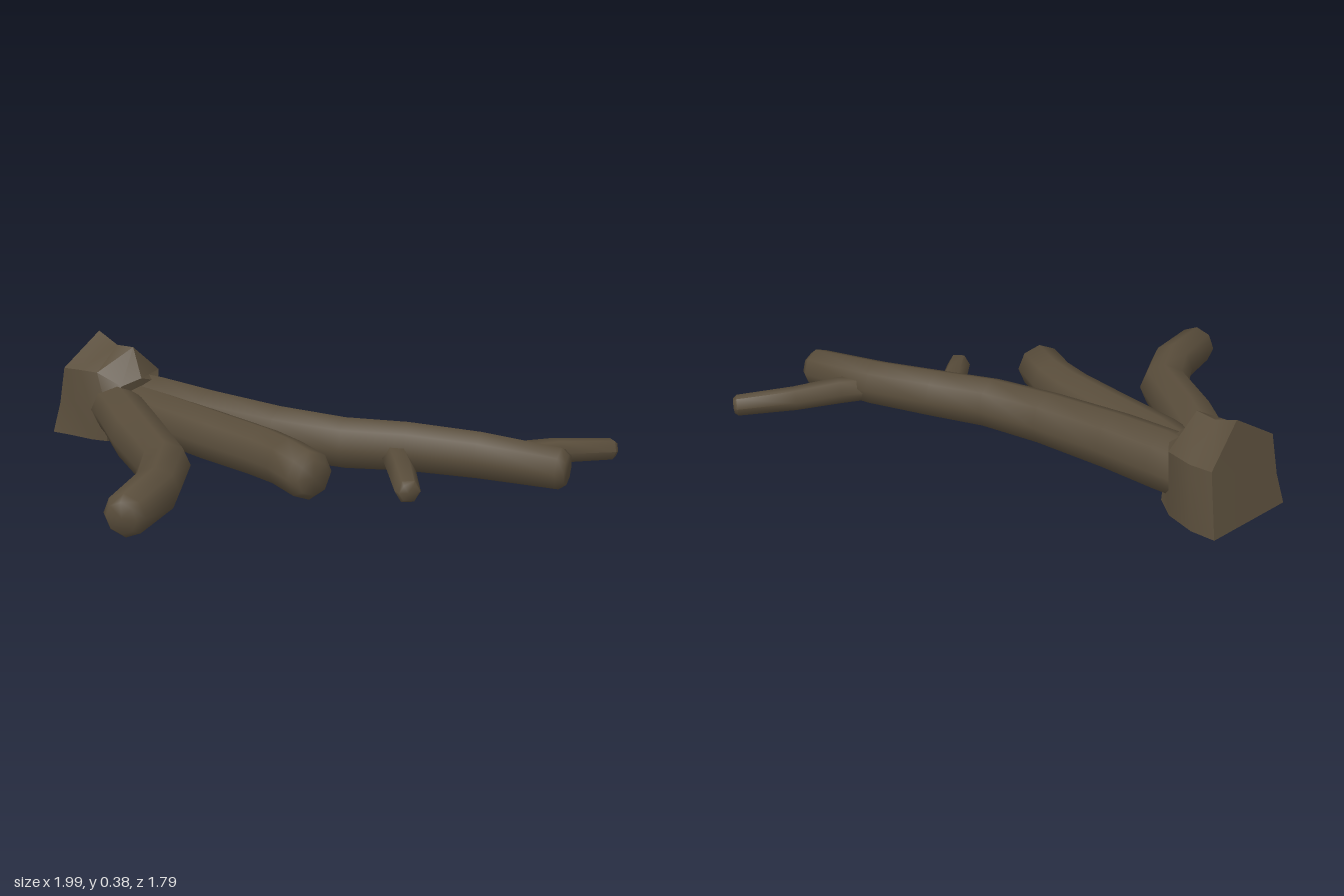
import * as THREE from 'three';
import { toCreasedNormals } from 'three/addons/utils/BufferGeometryUtils.js';

// Skin a list of equal-length rings (arrays of Vector3) and close both ends.
function loft(rings, crease) {
  const n = rings[0].length, pos = [], idx = [];
  rings.forEach(r => r.forEach(p => pos.push(p.x, p.y, p.z)));
  for (let i = 0; i < rings.length - 1; i++) {
    for (let j = 0; j < n; j++) {
      const a = i * n + j, b = i * n + (j + 1) % n;
      idx.push(a, b, b + n, a, b + n, a + n);
    }
  }
  [0, rings.length - 1].forEach((k, end) => {
    const c = new THREE.Vector3();
    rings[k].forEach(p => c.addScaledVector(p, 1 / n));
    const ci = pos.length / 3;
    pos.push(c.x, c.y, c.z);
    for (let j = 0; j < n; j++) {
      const a = k * n + j, b = k * n + (j + 1) % n;
      if (end) idx.push(ci, a, b); else idx.push(ci, b, a);
    }
  });
  const g = new THREE.BufferGeometry();
  g.setAttribute('position', new THREE.Float32BufferAttribute(pos, 3));
  g.setIndex(idx);
  return toCreasedNormals(g, crease);
}

// Root along [x, y, z, radius] stations, with a small bevel at the tip.
function rootGeometry(path, sides) {
  const pts = path.map(p => new THREE.Vector3(p[0], p[1], p[2]));
  const rad = path.map(p => p[3]);
  const last = pts.length - 1;
  const dir = pts[last].clone().sub(pts[last - 1]).normalize();
  pts.push(pts[last].clone().addScaledVector(dir, rad[last] * 0.35));
  rad.push(rad[last] * 0.72);
  const rings = pts.map((p, i) => {
    const t = pts[Math.min(i + 1, pts.length - 1)].clone().sub(pts[Math.max(i - 1, 0)]).normalize();
    const side = new THREE.Vector3(0, 1, 0).cross(t).normalize();
    const up = t.clone().cross(side);
    return Array.from({ length: sides }, (_, j) => {
      const a = j / sides * Math.PI * 2;
      return p.clone().addScaledVector(side, Math.cos(a) * rad[i]).addScaledVector(up, Math.sin(a) * rad[i]);
    });
  });
  return loft(rings, 1.1);
}

export function createModel() {
  const model = new THREE.Group();
  const bark = new THREE.MeshStandardMaterial({ color: 0x594d3b });
  bark.name = 'bark';
  const add = (name, geometry) => {
    const m = new THREE.Mesh(geometry, bark);
    m.name = name;
    model.add(m);
  };

  // Roots spreading forward over the ground
  const roots = {
    longRoot: [[-0.38, 0.125, -0.66, 0.11], [-0.32, 0.122, -0.5, 0.118], [-0.22, 0.115, -0.28, 0.113],
      [-0.07, 0.107, 0.0, 0.105], [0.08, 0.103, 0.22, 0.1], [0.25, 0.104, 0.38, 0.096],
      [0.43, 0.096, 0.58, 0.091], [0.605, 0.086, 0.83, 0.08]],
    middleRoot: [[-0.42, 0.12, -0.62, 0.09], [-0.37, 0.115, -0.35, 0.1], [-0.3, 0.107, -0.08, 0.1],
      [-0.24, 0.105, 0.16, 0.097], [-0.223, 0.105, 0.3, 0.093], [-0.228, 0.104, 0.455, 0.092]],
    bentRoot: [[-0.48, 0.125, -0.64, 0.09], [-0.5, 0.122, -0.48, 0.1], [-0.555, 0.112, -0.24, 0.105],
      [-0.615, 0.098, 0.09, 0.097], [-0.745, 0.093, 0.275, 0.088], [-0.935, 0.086, 0.42, 0.08]],
    innerBranch: [[0.2, 0.085, 0.36, 0.05], [0.12, 0.074, 0.53, 0.052], [0.04, 0.062, 0.68, 0.046]],
    outerBranch: [[0.43, 0.08, 0.58, 0.05], [0.58, 0.076, 0.61, 0.053], [0.76, 0.068, 0.625, 0.048],
      [0.98, 0.052, 0.685, 0.042]],
  };
  for (const [name, path] of Object.entries(roots)) {
    add(name, rootGeometry(path, name.endsWith('Branch') ? 6 : 8));
  }

  // Split stump base: cut face at the back, closing over the roots at the front
  const stump = [
    [[-0.67, 0, -0.76], [-0.64, 0.12, -0.75], [-0.63, 0.27, -0.72], [-0.45, 0.385, -0.77], [-0.32, 0.24, -0.84], [-0.31, 0, -0.9]],
    [[-0.63, 0, -0.69], [-0.61, 0.12, -0.68], [-0.59, 0.27, -0.66], [-0.42, 0.345, -0.67], [-0.275, 0.24, -0.76], [-0.265, 0, -0.81]],
    [[-0.58, 0, -0.59], [-0.58, 0.12, -0.59], [-0.55, 0.27, -0.59], [-0.39, 0.35, -0.59], [-0.26, 0.23, -0.63], [-0.245, 0, -0.68]],
    [[-0.54, 0, -0.54], [-0.54, 0.12, -0.53], [-0.48, 0.22, -0.52], [-0.4, 0.245, -0.505], [-0.32, 0.22, -0.52], [-0.27, 0, -0.57]],
  ].map(ring => ring.map(p => new THREE.Vector3(...p)).reverse());
  add('stump', loft(stump, 0.7));
  return model;
}
